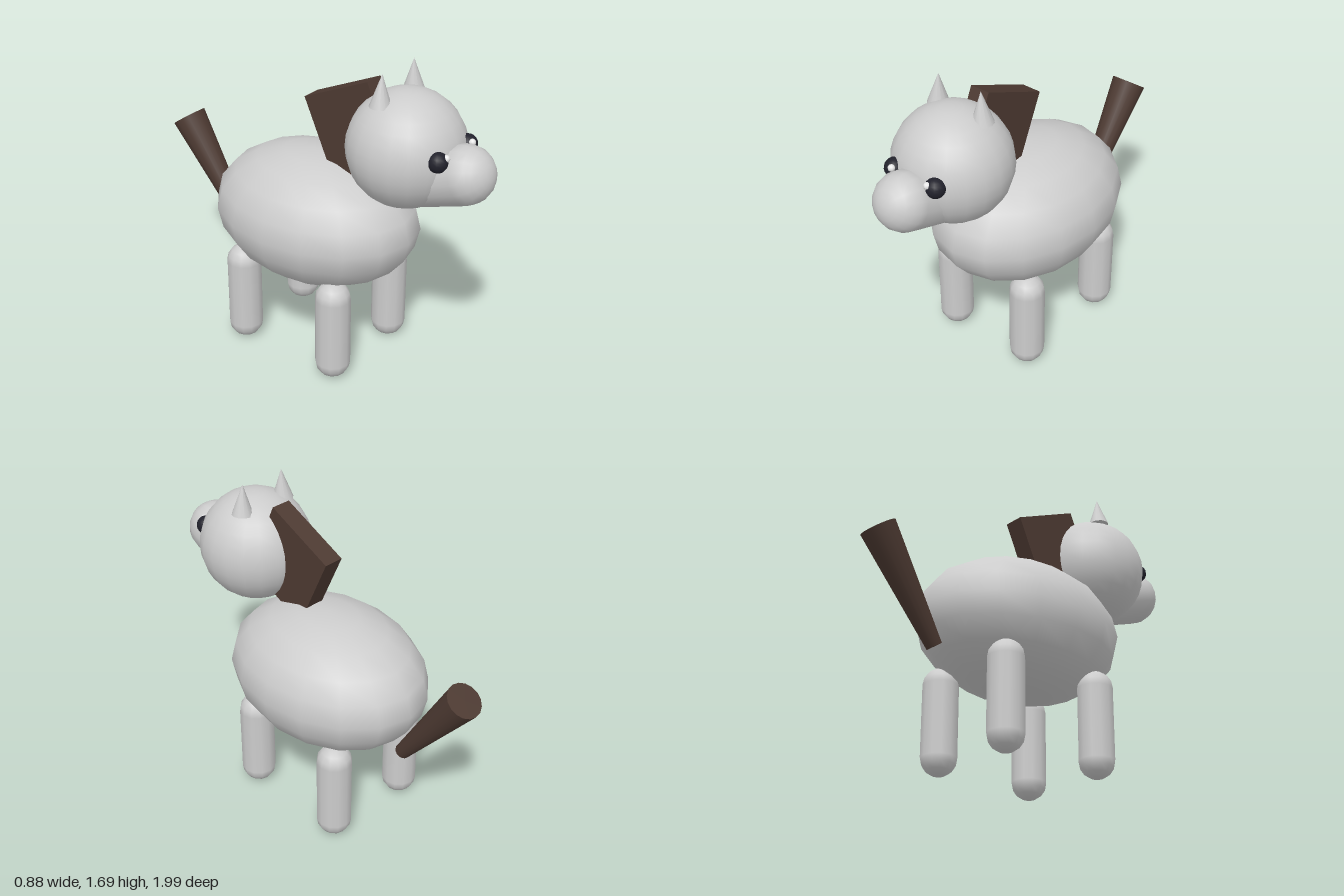
import * as THREE from 'three';

export function createModel() {
  const model = new THREE.Group();
  model.name = 'pony';

  const mat = (name, color) => {
    const m = new THREE.MeshStandardMaterial({ color });
    m.name = name;
    return m;
  };
  const coat = mat('grey coat', 0xcccccc);
  const hair = mat('brown hair', 0x4d3a32);
  const eyeDark = mat('dark eye', 0x22222c);
  const glint = mat('white glint', 0xffffff);

  const add = (name, geometry, material, x, y, z) => {
    const mesh = new THREE.Mesh(geometry, material);
    mesh.name = name;
    mesh.position.set(x, y, z);
    model.add(mesh);
    return mesh;
  };

  // Turns a mesh so that its y axis runs from one point to the other
  const up = new THREE.Vector3(0, 1, 0);
  const span = (mesh, from, to) => {
    mesh.position.copy(from).add(to).multiplyScalar(0.5);
    mesh.quaternion.setFromUnitVectors(up, to.clone().sub(from).normalize());
  };

  // Body and head
  add('body', new THREE.SphereGeometry(1, 16, 10), coat, 0, 0.773, -0.02).scale.set(0.44, 0.355, 0.58);
  add('head', new THREE.SphereGeometry(0.294, 20, 16), coat, 0, 1.3, 0.525);

  // Muzzle, sloping down into the head
  const muzzleBack = new THREE.Vector3(0, 1.165, 0.6);
  const muzzleFront = new THREE.Vector3(0, 1.258, 0.855);
  const muzzle = add('muzzle',
    new THREE.CapsuleGeometry(0.145, muzzleBack.distanceTo(muzzleFront), 6, 16), coat, 0, 0, 0);
  span(muzzle, muzzleBack, muzzleFront);

  // Paired parts
  for (const [side, s] of [['left', 1], ['right', -1]]) {
    for (const [end, z] of [['Front', 0.28], ['Back', -0.317]]) {
      add(side + end + 'Leg', new THREE.CapsuleGeometry(0.092, 0.376, 4, 12), coat, s * 0.245, 0.285, z);
    }
    const ear = add(side + 'Ear', new THREE.ConeGeometry(0.055, 0.16, 12), coat, s * 0.131, 1.615, 0.463);
    ear.rotation.z = s * 0.05;
    add(side + 'Eye', new THREE.SphereGeometry(0.05, 14, 10), eyeDark, s * 0.125, 1.345, 0.78);
    add(side + 'EyeGlint', new THREE.SphereGeometry(0.018, 10, 8), glint, s * 0.109, 1.368, 0.815);
  }

  // Mane slab, tilted back behind the head
  const mane = add('mane', new THREE.BoxGeometry(0.106, 0.46, 0.417), hair, 0, 1.298, 0.232);
  mane.rotation.x = -0.43;

  // Tail, widening towards its raised tip
  const tailRoot = new THREE.Vector3(0, 0.54, -0.556);
  const tailTip = new THREE.Vector3(0, 1.053, -0.918);
  const tail = add('tail',
    new THREE.CylinderGeometry(0.092, 0.04, tailRoot.distanceTo(tailTip), 16), hair, 0, 0, 0);
  span(tail, tailRoot, tailTip);

  return model;
}
